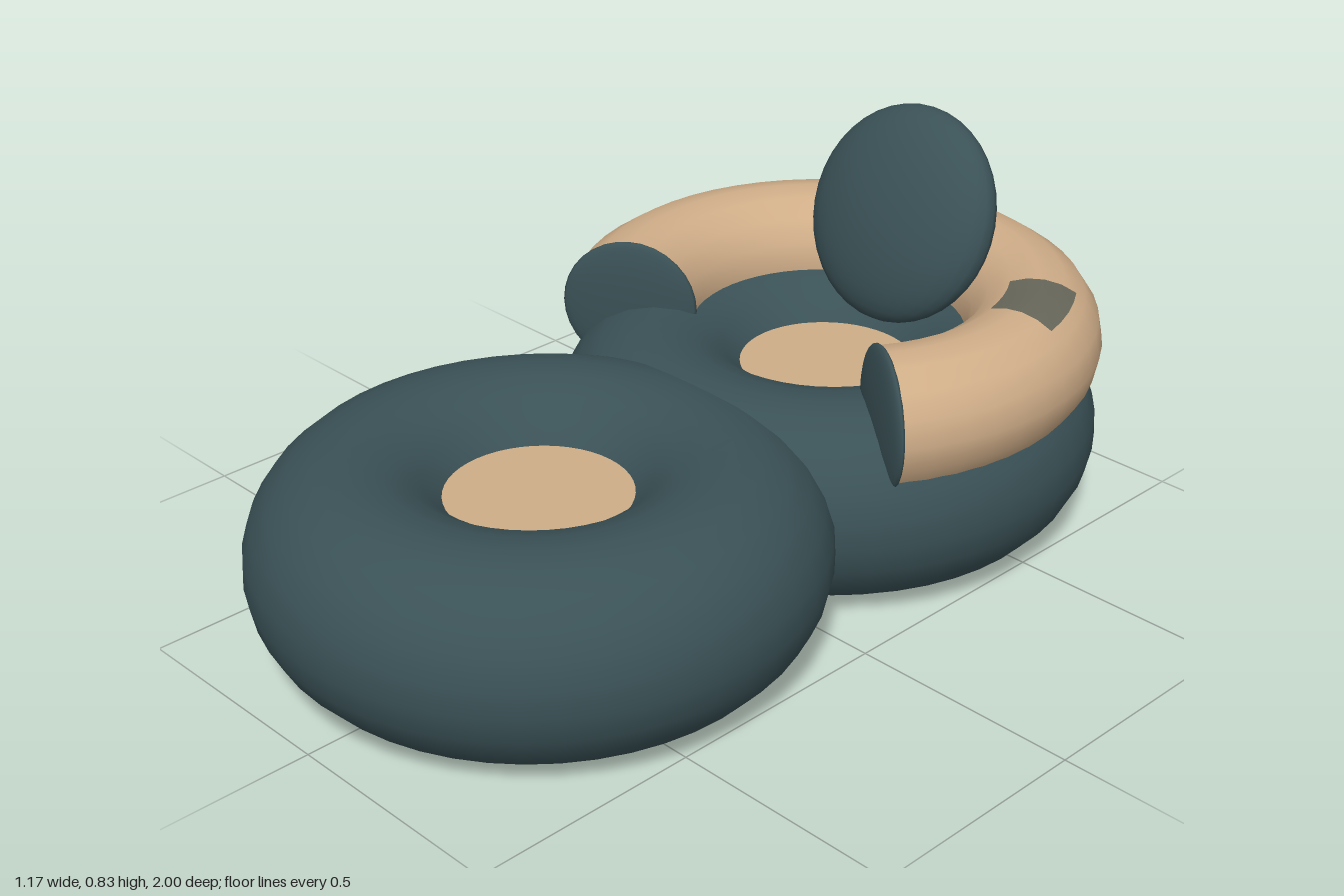
import * as THREE from 'three';

const teal = new THREE.MeshStandardMaterial({ color: 0x3a5156, side: THREE.DoubleSide });
const tan = new THREE.MeshStandardMaterial({ color: 0xcfad88, side: THREE.DoubleSide });
const grey = new THREE.MeshStandardMaterial({ color: 0x66665a, side: THREE.DoubleSide });
const rad = THREE.MathUtils.degToRad;

const RING_Z = 0.415;                            // distance of each ring from the middle
const RING = { R: 0.37, tube: 0.215, y: 0.215 };
const ARM = { R: 0.44, tube: 0.145, y: 0.42 };
const ARM_START = 57, ARM_END = 303;             // sweep round the back, in degrees from +z

function add(parent, name, geometry, material, x = 0, y = 0, z = 0) {
  const mesh = new THREE.Mesh(geometry, material);
  mesh.name = name;
  mesh.position.set(x, y, z);
  parent.add(mesh);
  return mesh;
}

// Part of a ring: tube angles a0..a1 (0 = outermost, 90 = top), swept from p0 to p1
function ringPart({ R, tube, y }, a0, a1, steps, p0 = 0, p1 = 360, segments = 48) {
  const points = [];
  for (let i = 0; i <= steps; i++) {
    const a = rad(a0 + (a1 - a0) * i / steps);
    points.push(new THREE.Vector2(R + tube * Math.cos(a), y + tube * Math.sin(a)));
  }
  return new THREE.LatheGeometry(points, segments, rad(p0), rad(p1 - p0));
}

// Inflated ring, open underneath, with a round panel closing its hole
function inflatedRing(name, z) {
  const group = new THREE.Group();
  group.name = name;
  group.position.z = z;
  add(group, name + 'Shell', ringPart(RING, -95, 147, 16), teal);
  const panel = new THREE.CircleGeometry(0.19, 48).rotateX(-Math.PI / 2);
  add(group, name + 'Panel', panel, tan, 0, 0.333, 0);
  return group;
}

export function createModel() {
  const model = new THREE.Group();
  model.name = 'inflatableLounger';

  model.add(inflatedRing('footrest', RING_Z));
  const seat = inflatedRing('seat', -RING_Z);
  model.add(seat);

  // Horseshoe armrest with a dark underside sunk into the seat
  add(seat, 'armrest', ringPart(ARM, -45, 202.5, 11, ARM_START, ARM_END, 36), tan);
  add(seat, 'armrestUnderside', ringPart(ARM, 202.5, 315, 5, ARM_START, ARM_END, 36), teal);

  // Thin domed caps on both armrest ends
  for (const side of [1, -1]) {
    const phi = rad(ARM_START) * side;
    const capShape = new THREE.SphereGeometry(0.15, 24, 16).scale(1, 1, 0.15);
    const cap = add(seat, side > 0 ? 'leftArmCap' : 'rightArmCap', capShape, teal,
      ARM.R * Math.sin(phi), ARM.y, ARM.R * Math.cos(phi));
    cap.rotation.y = phi + Math.PI / 2;
  }

  // Small patch on the left arm
  add(seat, 'armPatch', ringPart({ ...ARM, tube: 0.148 }, 56, 112.5, 4, 102, 124, 4), grey);

  // Flattened round head cushion leaning backwards
  const cushion = new THREE.SphereGeometry(0.24, 28, 20).scale(1, 1, 0.37);
  add(seat, 'headCushion', cushion, teal, 0, 0.61, -0.232).rotation.x = rad(-22);

  return model;
}
